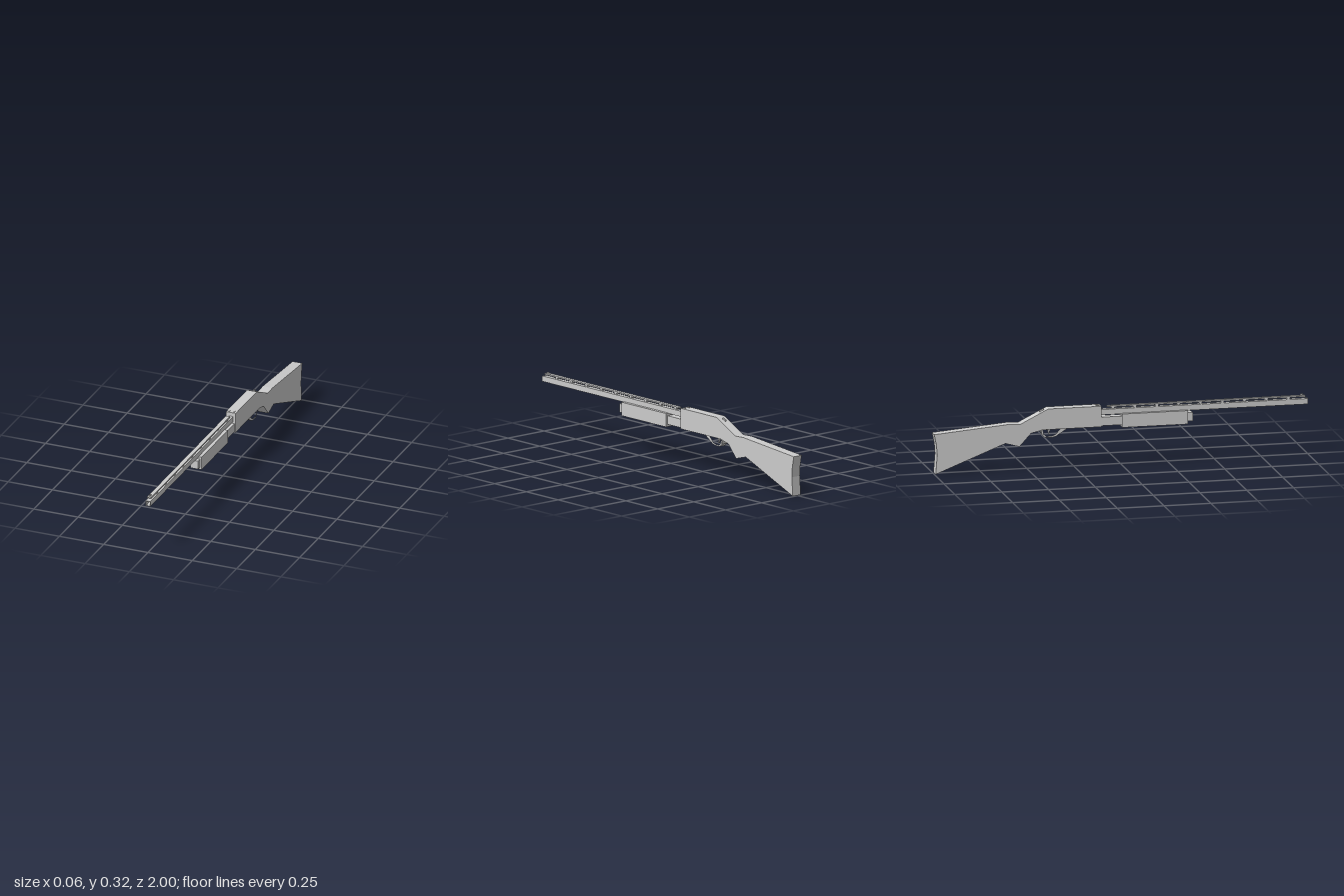
import * as THREE from 'three';

const mat = new THREE.MeshStandardMaterial({ color: 0xcccccc, flatShading: true });

export function createModel() {
  const group = new THREE.Group();

  function add(name, geometry) {
    const mesh = new THREE.Mesh(geometry, mat);
    mesh.name = name;
    group.add(mesh);
    return mesh;
  }
  // Box given by its extents in y and z, centred on x
  function block(name, halfWidth, y0, y1, z0, z1, x = 0) {
    const mesh = add(name, new THREE.BoxGeometry(halfWidth * 2, y1 - y0, z1 - z0));
    mesh.position.set(x, (y0 + y1) / 2, (z0 + z1) / 2);
    return mesh;
  }
  const toVectors = (pts) => pts.map(([a, b]) => new THREE.Vector2(a, b));
  // Side profile of [z, y] points extruded across x, with an optional hole
  function profile(name, halfWidth, pts, hole) {
    const shape = new THREE.Shape(toVectors(pts));
    if (hole) shape.holes.push(new THREE.Path(toVectors(hole)));
    const geo = new THREE.ExtrudeGeometry(shape, { depth: halfWidth * 2, bevelEnabled: false });
    geo.translate(0, 0, -halfWidth);
    geo.rotateY(-Math.PI / 2);
    return add(name, geo);
  }
  const rect = (w, y0, y1) => [[-w, y0], [w, y0], [w, y1], [-w, y1]];

  // Receiver, grip and stock in one continuous body
  profile('receiverAndStock', 0.0275, [
    [-0.108, 0.207], [-0.108, 0.317], [-0.39, 0.317], [-0.42, 0.303], [-0.54, 0.243],
    [-0.60, 0.246], [-1.0, 0.212], [-0.988, 0.155], [-0.984, 0.10], [-0.992, 0],
    [-0.62, 0.145], [-0.545, 0.124], [-0.483, 0.192], [-0.42, 0.207],
  ]);

  // Square barrel with a bore
  const barrelShape = new THREE.Shape(toVectors(rect(0.013, 0.267, 0.296)));
  barrelShape.holes.push(new THREE.Path(toVectors(rect(0.0105, 0.2695, 0.2935))));
  add('barrel', new THREE.ExtrudeGeometry(barrelShape, { depth: 1.108, bevelEnabled: false }))
    .position.z = -0.108;

  // Raised rib on short posts
  block('rib', 0.011, 0.306, 0.313, -0.07, 0.985);
  for (let i = 0; i < 9; i++) {
    const z = 0.895 - i * 0.117;
    block('ribPost', 0.008, 0.295, 0.307, z - 0.008, z + 0.008);
  }

  // Sights
  block('frontSight', 0.003, 0.312, 0.32, 0.96, 0.975);
  for (const side of [-1, 1]) {
    block('rearSight', 0.003, 0.316, 0.32, -0.132, -0.115, side * 0.0135);
  }

  // Lower tube and sliding fore-end
  block('lowerTube', 0.022, 0.211, 0.257, -0.11, 0.382);
  block('foreEnd', 0.031, 0.198, 0.27, 0.003, 0.355);

  // Safety catch on the sloping tang
  const safety = block('safetyCatch', 0.003, 0.297, 0.311, -0.432, -0.408);
  safety.rotation.x = -0.45;

  // Trigger guard and trigger
  profile('triggerGuard', 0.0165,
    [[-0.28, 0.21], [-0.345, 0.168], [-0.365, 0.162], [-0.405, 0.162], [-0.422, 0.178], [-0.427, 0.21]],
    [[-0.325, 0.204], [-0.352, 0.176], [-0.37, 0.169], [-0.4, 0.169], [-0.413, 0.181], [-0.417, 0.204]]);
  profile('trigger', 0.004,
    [[-0.37, 0.21], [-0.386, 0.21], [-0.388, 0.19], [-0.381, 0.174], [-0.376, 0.174], [-0.379, 0.19]]);

  return group;
}
